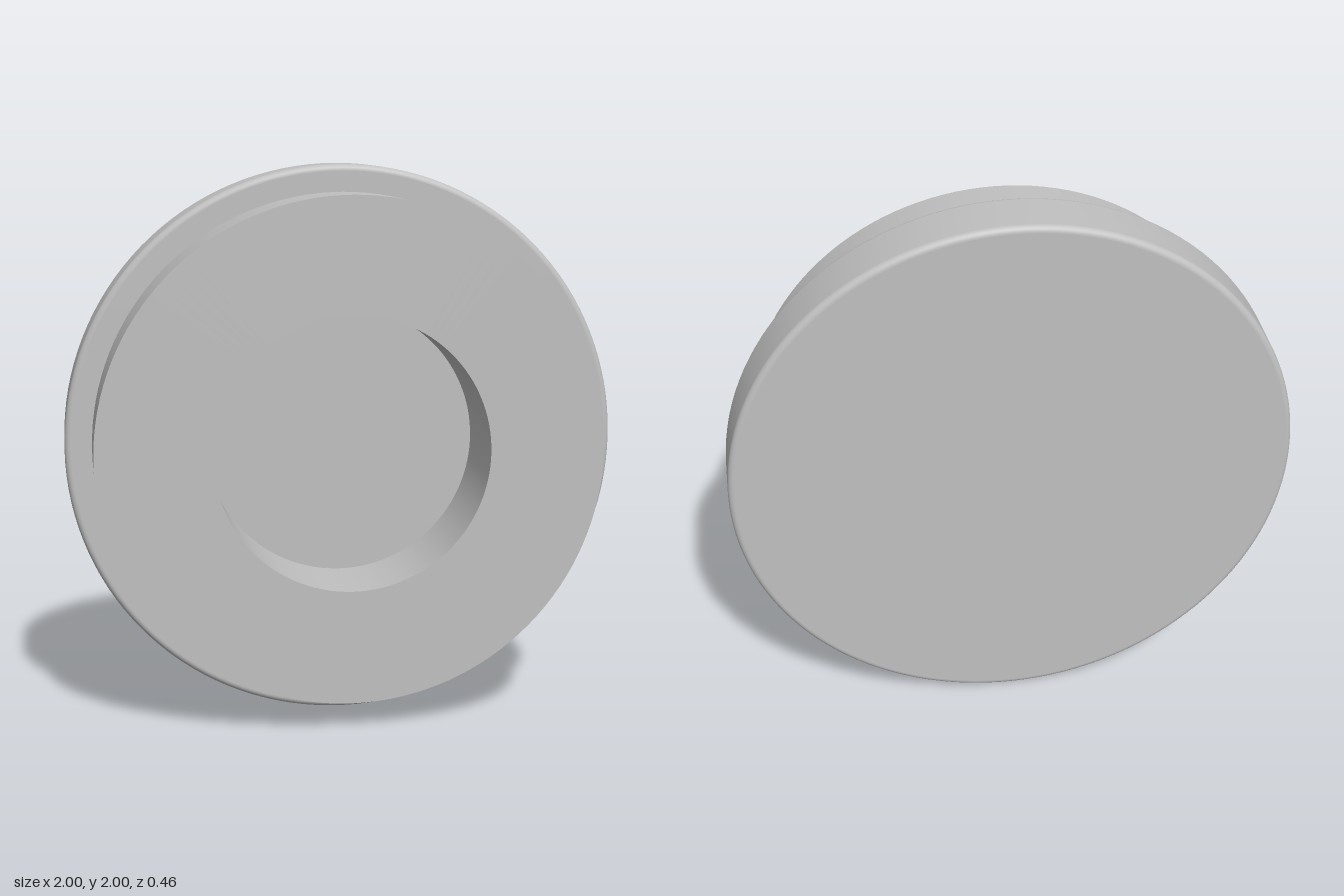
import * as THREE from 'three';
import { mergeGeometries } from 'three/addons/utils/BufferGeometryUtils.js';

const SEGMENTS = 128;

// Revolve each strip [radius, z] separately, so edges between strips stay sharp
function revolve(strips) {
  const parts = strips.map((strip) =>
    new THREE.LatheGeometry(strip.map(([r, z]) => new THREE.Vector2(r, z)), SEGMENTS));
  return mergeGeometries(parts).rotateX(Math.PI / 2);
}

// Quarter-round points from one angle to another
function fillet(r, z, radius, from, to, steps = 8) {
  return Array.from({ length: steps + 1 }, (_, i) => {
    const a = from + ((to - from) * i) / steps;
    return [r + radius * Math.cos(a), z + radius * Math.sin(a)];
  });
}

export function createModel() {
  const model = new THREE.Group();
  model.name = 'steppedCap';
  const grey = new THREE.MeshStandardMaterial({ color: 0xc0c0c0 });
  grey.name = 'grey';

  const back = -0.232, step = -0.024, front = 0.232, floor = -0.11;
  const flangeR = 1, bossR = 0.903, holeR = 0.491, round = 0.022;

  const add = (name, strips) => {
    const mesh = new THREE.Mesh(revolve(strips), grey);
    mesh.name = name;
    mesh.position.y = 1;
    model.add(mesh);
  };

  // Wide disc with rounded rim
  add('flange', [
    [[0, back], [flangeR - round, back]],
    [
      ...fillet(flangeR - round, back + round, round, -Math.PI / 2, 0),
      ...fillet(flangeR - round, step - round, round, 0, Math.PI / 2),
    ],
    [[flangeR - round, step], [bossR, step]],
  ]);

  // Narrower front cylinder with its ring face
  add('boss', [
    [[bossR, step], [bossR, front]],
    [[bossR, front], [holeR, front]],
  ]);

  // Blind round recess
  add('recess', [
    [[holeR, front], [holeR, floor]],
    [[holeR, floor], [0, floor]],
  ]);

  return model;
}
